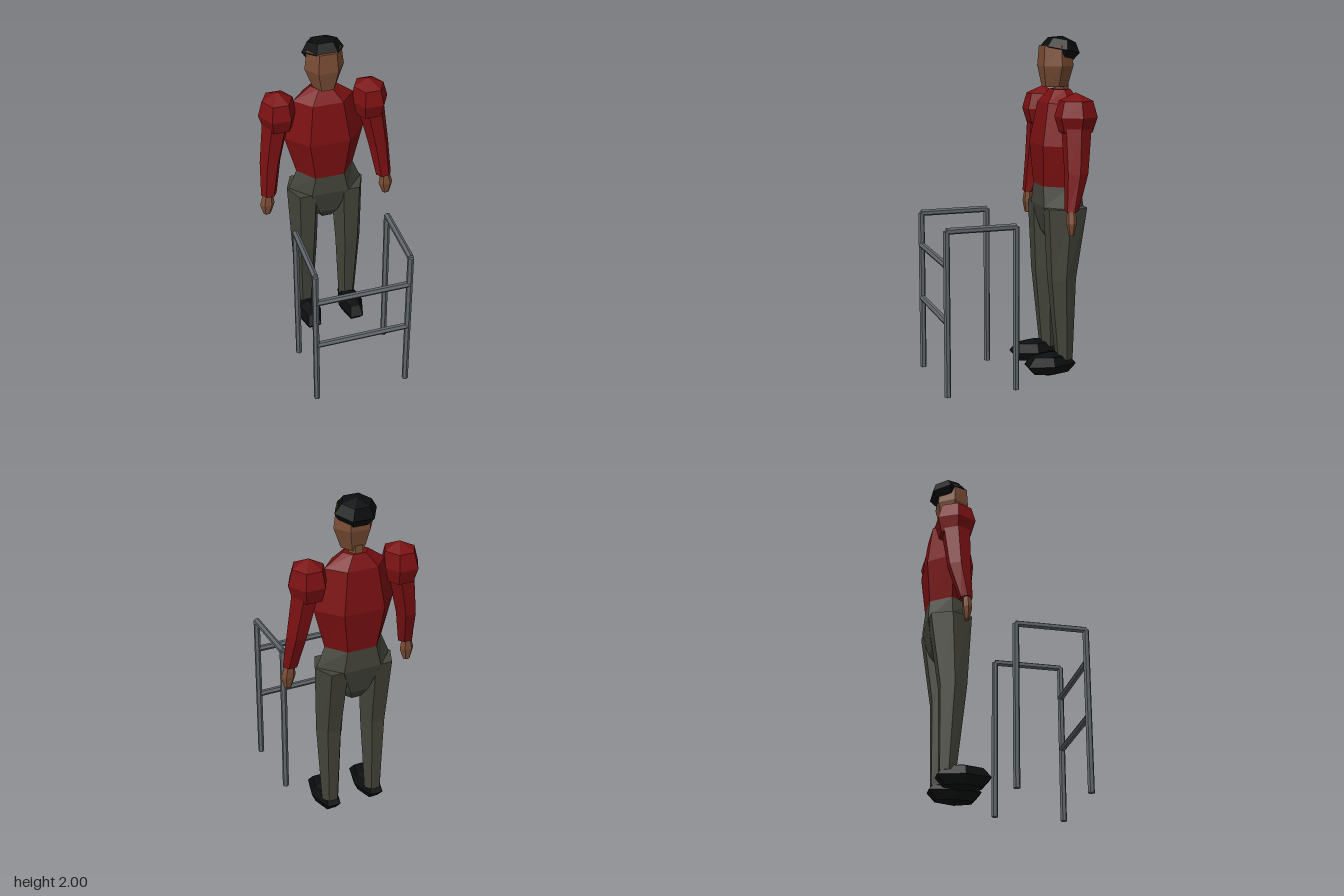
import * as THREE from 'three';

const mat = (name, color) => {
  const m = new THREE.MeshStandardMaterial({ color, flatShading: true });
  m.name = name;
  return m;
};

// Six-sided body from rings listed bottom to top: [x, y, z, halfWidth, halfDepth]
function loft(rings) {
  const pos = [];
  const pts = rings.map(([x, y, z, w, d]) => Array.from({ length: 6 }, (_, i) => {
    const a = (i * Math.PI) / 3;
    return [x + w * Math.cos(a), y, z + (d / 0.866) * Math.sin(a)];
  }));
  const tri = (...c) => c.forEach((p) => pos.push(...p));
  const last = rings.length - 1;
  for (let i = 0; i < 6; i++) {
    const j = (i + 1) % 6;
    for (let r = 0; r < last; r++) {
      tri(pts[r][j], pts[r][i], pts[r + 1][i]);
      tri(pts[r][j], pts[r + 1][i], pts[r + 1][j]);
    }
    tri(rings[0].slice(0, 3), pts[0][i], pts[0][j]);
    tri(rings[last].slice(0, 3), pts[last][j], pts[last][i]);
  }
  const g = new THREE.BufferGeometry();
  g.setAttribute('position', new THREE.Float32BufferAttribute(pos, 3));
  g.computeVertexNormals();
  return g;
}

// Faceted ellipsoid: six sides, four bands
const ball = (x, y, z, w, h, d) => loft([-90, -45, 0, 45, 90].map((deg) => {
  const a = THREE.MathUtils.degToRad(deg);
  const c = Math.max(Math.cos(a), 0.001);
  return [x, y + h * Math.sin(a), z, w * c, d * c];
}));

export function createModel() {
  const model = new THREE.Group();
  model.name = 'personWithWalkingFrame';
  const red = mat('red shirt', 0x7a1012);
  const olive = mat('olive trousers', 0x43443a);
  const skin = mat('brown skin', 0x7a4d35);
  const black = mat('black hair and shoes', 0x0b0c0d);
  const steel = mat('grey steel', 0x5f666b);

  const person = new THREE.Group();
  person.name = 'person';
  const frame = new THREE.Group();
  frame.name = 'walkingFrame';
  model.add(person, frame);

  const add = (parent, name, geo, material) => {
    const m = new THREE.Mesh(geo, material);
    m.name = name;
    parent.add(m);
    return m;
  };

  // Trunk
  add(person, 'torso', loft([
    [0, 1.14, -0.315, 0.175, 0.115],
    [0, 1.38, -0.32, 0.24, 0.135],
    [0, 1.62, -0.325, 0.18, 0.1],
    [0, 1.695, -0.33, 0.075, 0.05],
  ]), red);
  add(person, 'pelvis', loft([
    [0, 0.8, -0.32, 0.06, 0.05],
    [0, 0.86, -0.32, 0.11, 0.085],
    [0, 1.02, -0.318, 0.225, 0.122],
    [0, 1.14, -0.315, 0.175, 0.115],
  ]), olive);

  // Head
  add(person, 'neck', loft([
    [0, 1.62, -0.335, 0.045, 0.04],
    [0, 1.74, -0.335, 0.042, 0.04],
  ]), skin);
  add(person, 'head', loft([
    [0, 1.71, -0.297, 0.07, 0.067],
    [0, 1.83, -0.3, 0.115, 0.09],
    [0, 1.945, -0.3, 0.1, 0.083],
  ]), skin);
  const hair = add(person, 'hair', ball(0, 0, 0, 0.123, 0.078, 0.1), black);
  hair.position.set(0, 1.922, -0.328);
  hair.rotation.x = -0.2;

  // Limbs, mirrored
  for (const [side, s] of [['left', 1], ['right', -1]]) {
    add(person, side + 'Shoulder', loft([
      [s * 0.275, 1.445, -0.322, 0.03, 0.03],
      [s * 0.272, 1.475, -0.322, 0.09, 0.085],
      [s * 0.275, 1.56, -0.322, 0.112, 0.108],
      [s * 0.272, 1.65, -0.322, 0.09, 0.085],
      [s * 0.27, 1.695, -0.322, 0.001, 0.001],
    ]), red);
    add(person, side + 'Sleeve', loft([
      [s * 0.358, 1.04, -0.268, 0.047, 0.033],
      [s * 0.333, 1.25, -0.305, 0.062, 0.06],
      [s * 0.288, 1.5, -0.32, 0.08, 0.075],
    ]), red);
    add(person, side + 'Hand', loft([
      [s * 0.374, 0.905, -0.263, 0.022, 0.012],
      [s * 0.371, 0.975, -0.263, 0.044, 0.024],
      [s * 0.365, 1.045, -0.266, 0.03, 0.02],
    ]), skin);
    add(person, side + 'Leg', loft([
      [s * 0.14, 0.11, -0.317, 0.053, 0.045],
      [s * 0.14, 0.6, -0.297, 0.08, 0.075],
      [s * 0.135, 1.02, -0.318, 0.1, 0.117],
    ]), olive);
    add(person, side + 'Shoe', ball(s * 0.14, 0.083, -0.23, 0.08, 0.074, 0.148), black);
  }

  // Walking frame tubes
  const tube = (name, a, b) => {
    const from = new THREE.Vector3(...a), to = new THREE.Vector3(...b);
    const dir = to.clone().sub(from);
    const m = add(frame, name, new THREE.CylinderGeometry(0.019, 0.019, dir.length(), 6), steel);
    m.position.copy(from).add(to).multiplyScalar(0.5);
    m.quaternion.setFromUnitVectors(new THREE.Vector3(0, 1, 0), dir.normalize());
  };
  for (const x of [-0.28, 0.28]) {
    for (const z of [0.031, 0.437]) tube('post', [x, 0, z], [x, 0.955, z]);
    tube('handRail', [x, 0.956, 0.031], [x, 0.956, 0.437]);
  }
  for (const y of [0.435, 0.76]) tube('crossBar', [-0.28, y, 0.437], [0.28, y, 0.437]);

  return model;
}
